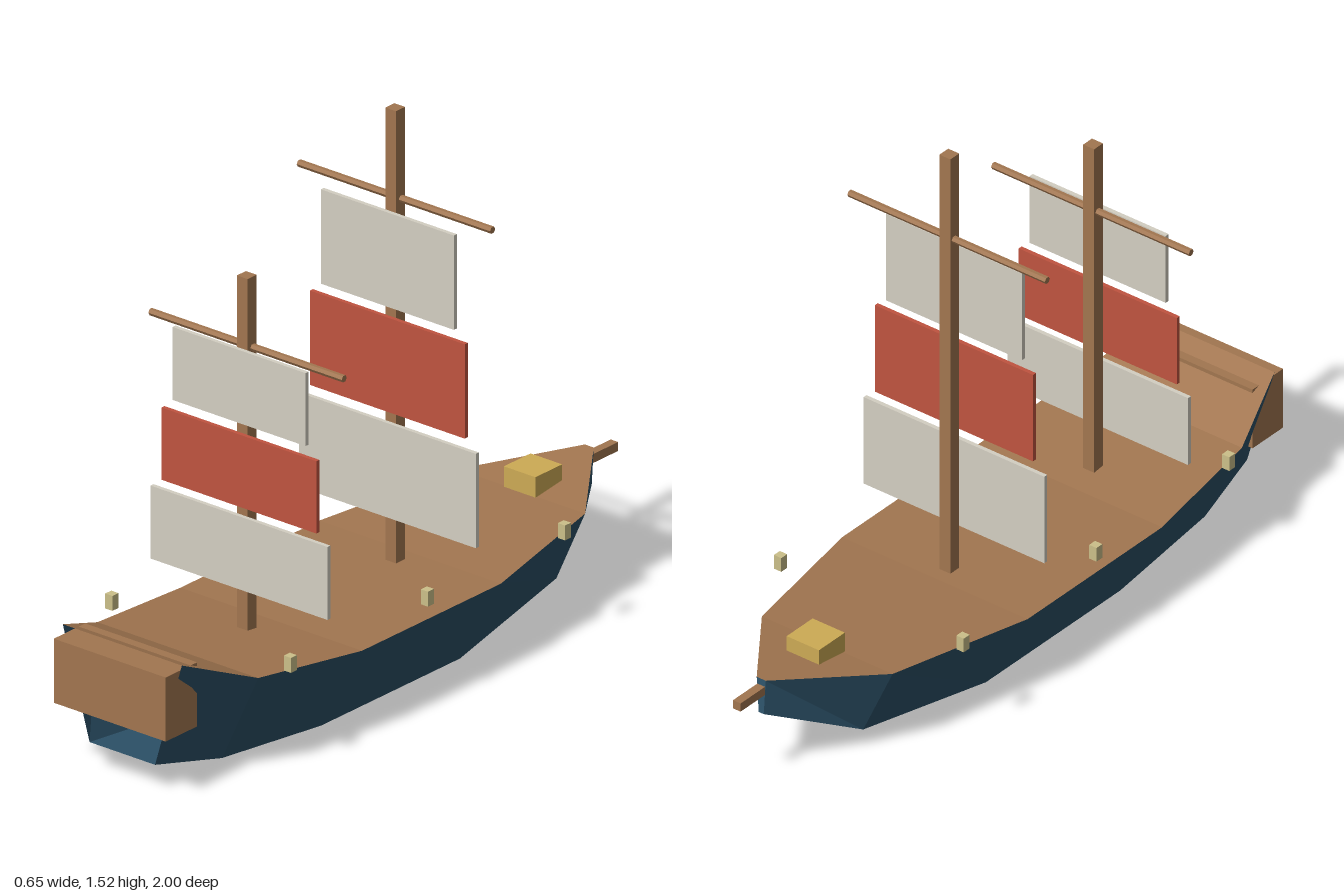
import * as THREE from 'three';

const paint = (name, color, side = THREE.FrontSide) => {
  const m = new THREE.MeshStandardMaterial({ color, side, flatShading: true });
  m.name = name;
  return m;
};

export function createModel() {
  const ship = new THREE.Group();
  ship.name = 'sailingShip';
  const wood = paint('wood', 0xa27650);
  const deckWood = paint('deckWood', 0xa27650, THREE.DoubleSide);
  const hullBlue = paint('hullBlue', 0x2f566e, THREE.DoubleSide);
  const cream = paint('creamCanvas', 0xd4cfc2);
  const red = paint('redCanvas', 0xc05440);
  const gold = paint('gold', 0xcdab55);
  const lamp = paint('lampGlass', 0xccc08a);

  const add = (name, geometry, material, x, y, z, parent = ship) => {
    const mesh = new THREE.Mesh(geometry, material);
    mesh.name = name;
    mesh.position.set(x, y, z);
    parent.add(mesh);
    return mesh;
  };
  const box = (name, w, h, d, material, x, y, z, parent) =>
    add(name, new THREE.BoxGeometry(w, h, d), material, x, y, z, parent);

  // Hull stations from stern to bow: z, top y, bottom y, half width at the top
  const stations = [
    [0.95, 0.38, 0.075, 0.2],
    [0.73, 0.29, 0.03, 0.27],
    [0.36, 0.25, 0, 0.305],
    [-0.19, 0.25, 0, 0.305],
    [-0.63, 0.27, 0.06, 0.215],
    [-0.9, 0.305, 0.2, 0.015],
  ];
  // Corners of each section: port top, port bottom, starboard bottom, starboard top
  const rings = stations.map(([z, top, bottom, w]) => [
    [w, top, z], [w * 0.55, bottom, z], [-w * 0.55, bottom, z], [-w, top, z],
  ]);
  const shell = (quads) => {
    const geometry = new THREE.BufferGeometry();
    const points = quads.flatMap(([a, b, c, d]) => [a, b, c, a, c, d]).flat();
    geometry.setAttribute('position', new THREE.Float32BufferAttribute(points, 3));
    geometry.computeVertexNormals();
    return geometry;
  };
  const hullQuads = [];
  const deckQuads = [];
  for (let i = 0; i < rings.length - 1; i++) {
    const a = rings[i], b = rings[i + 1];
    for (let k = 0; k < 3; k++) hullQuads.push([a[k], a[k + 1], b[k + 1], b[k]]);
    deckQuads.push([a[0], b[0], b[3], a[3]]);
  }
  const bow = rings[rings.length - 1];
  hullQuads.push([bow[0], bow[1], bow[2], bow[3]]); // narrow stem; the stern stays open
  add('hull', shell(hullQuads), hullBlue, 0, 0, 0);
  add('deck', shell(deckQuads), deckWood, 0, 0, 0);

  // Stern cabin, bowsprit and foredeck hatch
  box('sternCabin', 0.376, 0.18, 0.125, wood, 0, 0.27, 0.9375);
  box('bowsprit', 0.025, 0.025, 0.16, wood, 0, 0.273, -0.92);
  box('hatch', 0.106, 0.06, 0.106, gold, 0, 0.297, -0.677);

  // A mast with its yard and three sails, given as [bottom, top]
  const rig = (name, z, top, yardY, sails) => {
    const group = new THREE.Group();
    group.name = name;
    group.position.z = z;
    ship.add(group);
    box('mast', 0.036, top - 0.24, 0.036, wood, 0, (top + 0.24) / 2, 0, group);
    const yard = add('yard', new THREE.CylinderGeometry(0.01, 0.01, 0.65, 6), wood, 0, yardY, -0.003, group);
    yard.rotation.z = Math.PI / 2;
    sails.forEach(([low, high], i) => {
      const width = [0.594, 0.52, 0.447][i];
      box('sail', width, high - low, 0.012, i === 1 ? red : cream, 0, (low + high) / 2, 0.025, group);
    });
  };
  rig('mainRig', -0.131, 1.52, 1.268, [[0.378, 0.643], [0.675, 0.94], [0.97, 1.235]]);
  rig('aftRig', 0.457, 1.25, 1.052, [[0.378, 0.583], [0.61, 0.813], [0.845, 1.05]]);

  // Lanterns along both rails
  for (const side of [1, -1]) {
    for (const z of [0.638, 0.095, -0.448]) {
      box('lantern', 0.024, 0.042, 0.024, lamp, side * 0.3, 0.31, z);
    }
  }
  return ship;
}
